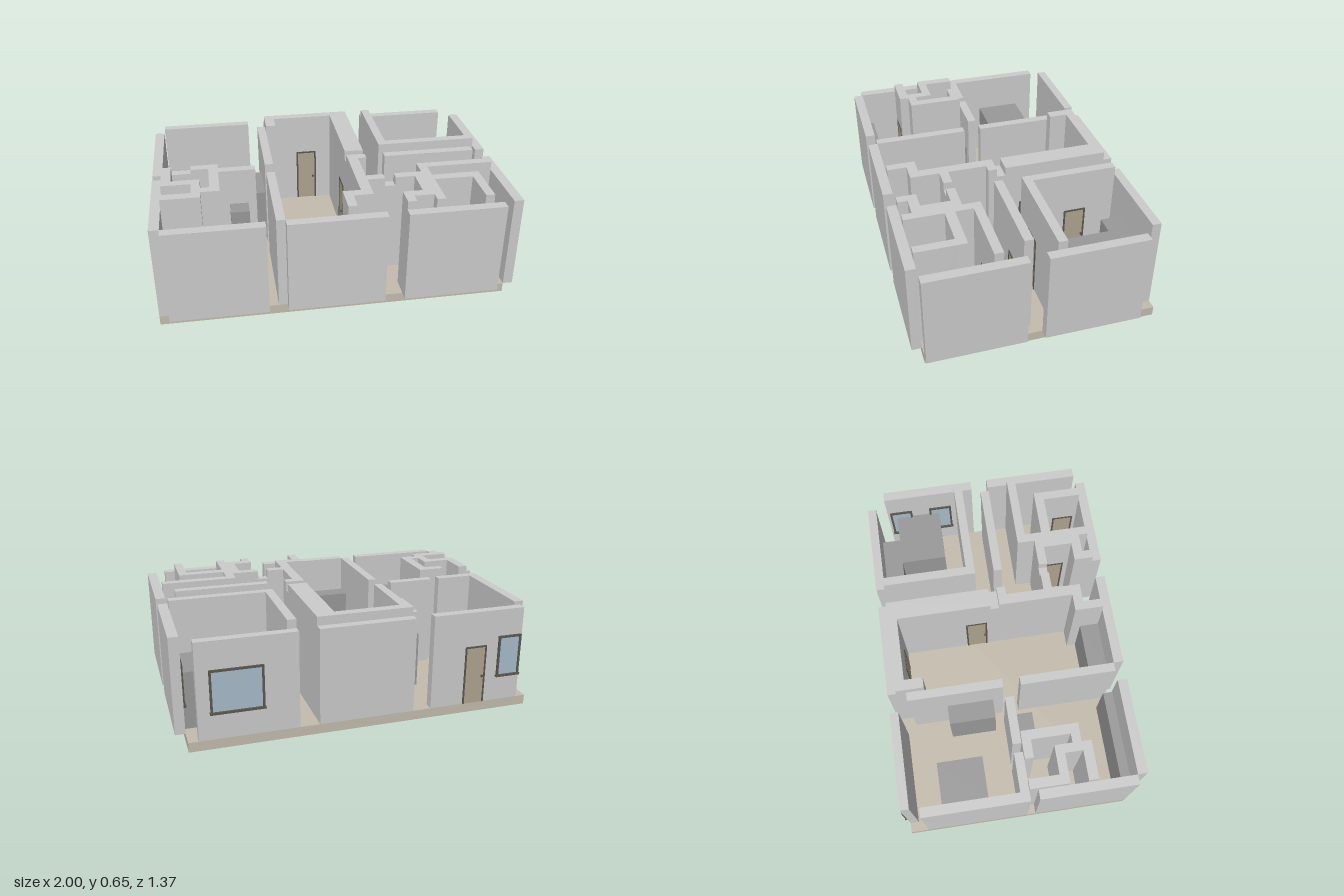
import * as THREE from 'three';

const mat = (color) => new THREE.MeshStandardMaterial({ color });
const FLOOR = 0.055, LOW = 0.6, HIGH = 0.65;

export function createModel() {
  const model = new THREE.Group();
  const wallMat = mat(0xcccccc), slabMat = mat(0xc4bcae), furnitureMat = mat(0x999999);
  const frameMat = mat(0x5c5750), doorMat = mat(0xb0a48f), glassMat = mat(0xa9bccb);

  // Box given by its extents
  const block = (parent, name, material, x0, x1, y0, y1, z0, z1) => {
    const mesh = new THREE.Mesh(new THREE.BoxGeometry(x1 - x0, y1 - y0, z1 - z0), material);
    mesh.position.set((x0 + x1) / 2, (y0 + y1) / 2, (z0 + z1) / 2);
    mesh.name = name;
    parent.add(mesh);
  };
  const group = (name) => {
    const g = new THREE.Group();
    g.name = name;
    model.add(g);
    return g;
  };

  block(model, 'floorSlab', slabMat, -1, 0.945, 0, FLOOR, -0.67, 0.625);

  // Outer wall panels, three along front and back, two along each side
  const outer = group('outerWalls');
  for (const x of [-0.945, -0.3, 0.35]) {
    block(outer, 'frontWall', wallMat, x, x + 0.54, FLOOR, LOW, 0.625, 0.68);
    block(outer, 'backWall', wallMat, x, x + 0.54, FLOOR, LOW, -0.67, -0.62);
  }
  for (const z of [-0.565, 0.08]) {
    block(outer, 'rightWall', wallMat, -1, -0.945, FLOOR, LOW, z, z + 0.545);
    block(outer, 'leftWall', wallMat, 0.945, 1, FLOOR, LOW, z, z + 0.545);
    block(outer, 'roomDivider', wallMat, -0.35, -0.3, FLOOR, LOW, z, z + 0.545);
  }

  // Lower inner walls: x0, x1, z0, z1
  const inner = group('innerWalls');
  [
    [-1, -0.73, -0.02, 0.03], [-0.68, -0.41, -0.02, 0.03],
    [0.13, 0.24, -0.02, 0.03], [0.29, 0.35, 0.3, 0.35],
  ].forEach(([a, b, c, d]) => block(inner, 'lowInnerWall', wallMat, a, b, FLOOR, LOW, c, d));

  // Taller inner walls: x0, x1, z0, z1
  [
    // closet beside the front room
    [-0.945, -0.89, 0.03, 0.25], [-0.89, -0.73, 0.2, 0.25], [-0.78, -0.625, 0.03, 0.08],
    [-0.68, -0.625, 0.08, 0.35], [-0.78, -0.73, 0.25, 0.405], [-0.73, -0.68, 0.3, 0.35],
    [-0.945, -0.78, 0.35, 0.405],
    // main hall
    [-0.3, 0.13, -0.62, -0.565], [-0.3, -0.24, -0.565, -0.46], [0.13, 0.24, -0.62, -0.02],
    [0.13, 0.24, 0.03, 0.08], [0.13, 0.19, 0.08, 0.515], [0.03, 0.13, 0.46, 0.515],
    [0.03, 0.08, 0.515, 0.625],
    // back bedroom and corridor
    [0.35, 0.4, -0.62, -0.08], [0.4, 0.945, -0.13, -0.08], [0.35, 0.89, 0.03, 0.08],
    // front rooms
    [0.19, 0.29, 0.3, 0.35], [0.35, 0.51, 0.3, 0.35], [0.46, 0.51, 0.35, 0.515],
    [0.51, 0.56, 0.2, 0.625], [0.56, 0.945, 0.2, 0.25], [0.56, 0.83, 0.35, 0.405],
    [0.78, 0.83, 0.405, 0.625], [0.35, 0.51, 0.515, 0.57], [0.35, 0.4, 0.57, 0.625],
  ].forEach(([a, b, c, d]) => block(inner, 'tallInnerWall', wallMat, a, b, FLOOR, HIGH, c, d));

  // Furniture blocks: x0, x1, z0, z1
  const furniture = group('furniture');
  [
    [-0.945, -0.675, -0.455, -0.19], [-0.46, -0.35, -0.35, -0.08], [-0.57, -0.46, 0.03, 0.135],
    [-0.945, -0.41, 0.57, 0.625], [-0.3, 0.03, 0.515, 0.625], [0.08, 0.13, 0.515, 0.625],
    [0.51, 0.78, -0.62, -0.51], [0.62, 0.945, -0.51, -0.24],
  ].forEach(([a, b, c, d]) => block(furniture, 'cabinet', furnitureMat, a, b, FLOOR, 0.38, c, d));

  // Group placed on a wall face; its local +z points along angle
  const onWall = (name, x, z, angle) => {
    const g = group(name);
    g.position.set(x, 0, z);
    g.rotation.y = angle;
    return g;
  };

  // Window: glass pane, four frame bars and a sill
  const addWindow = (x, z, angle, width) => {
    const g = onWall('window', x, z, angle), w = width / 2, t = 0.012;
    block(g, 'glass', glassMat, -w + t, w - t, 0.212, 0.432, 0, 0.004);
    for (const s of [-1, 1]) {
      const x0 = s > 0 ? w - t : -w;
      block(g, 'frameSide', frameMat, x0, x0 + t, 0.205, 0.445, 0, 0.01);
    }
    block(g, 'frameTop', frameMat, -w, w, 0.433, 0.445, 0, 0.01);
    block(g, 'sill', frameMat, -w - 0.004, w + 0.004, 0.2, 0.212, 0, 0.016);
  };
  addWindow(0.68, -0.67, Math.PI, 0.285);
  addWindow(-0.87, -0.67, Math.PI, 0.14);
  addWindow(0.945, -0.48, -Math.PI / 2, 0.14);
  addWindow(0.945, -0.23, -Math.PI / 2, 0.14);

  // Door: panel, slim frame and a knob (knob at local offset k)
  const addDoor = (x, z, angle, k) => {
    const g = onWall('door', x, z, angle);
    block(g, 'panel', doorMat, -0.055, 0.055, FLOOR, 0.39, 0, 0.002);
    for (const s of [-0.065, 0.055]) block(g, 'jamb', frameMat, s, s + 0.01, FLOOR, 0.4, 0, 0.004);
    block(g, 'lintel', frameMat, -0.065, 0.065, 0.39, 0.4, 0, 0.004);
    block(g, 'knob', frameMat, k - 0.005, k + 0.005, 0.21, 0.222, 0, 0.012);
  };
  const F = 0, L = Math.PI / 2, B = Math.PI, R = -Math.PI / 2;
  [
    [-0.665, -0.67, B, 0.045], [-0.03, -0.565, F, 0.045], [0.4, -0.39, L, 0.05],
    [0.24, -0.17, L, 0.05], [0.13, -0.11, R, 0.05], [-0.89, 0.1, L, 0.05],
    [0.56, -0.08, F, 0.05], [0.71, 0.08, F, -0.045], [0.77, 0.25, F, 0.05],
    [0.46, 0.42, R, -0.045], [-0.845, 0.405, F, 0.05], [0.78, 0.54, R, 0.045],
  ].forEach((d) => addDoor(...d));

  return model;
}
